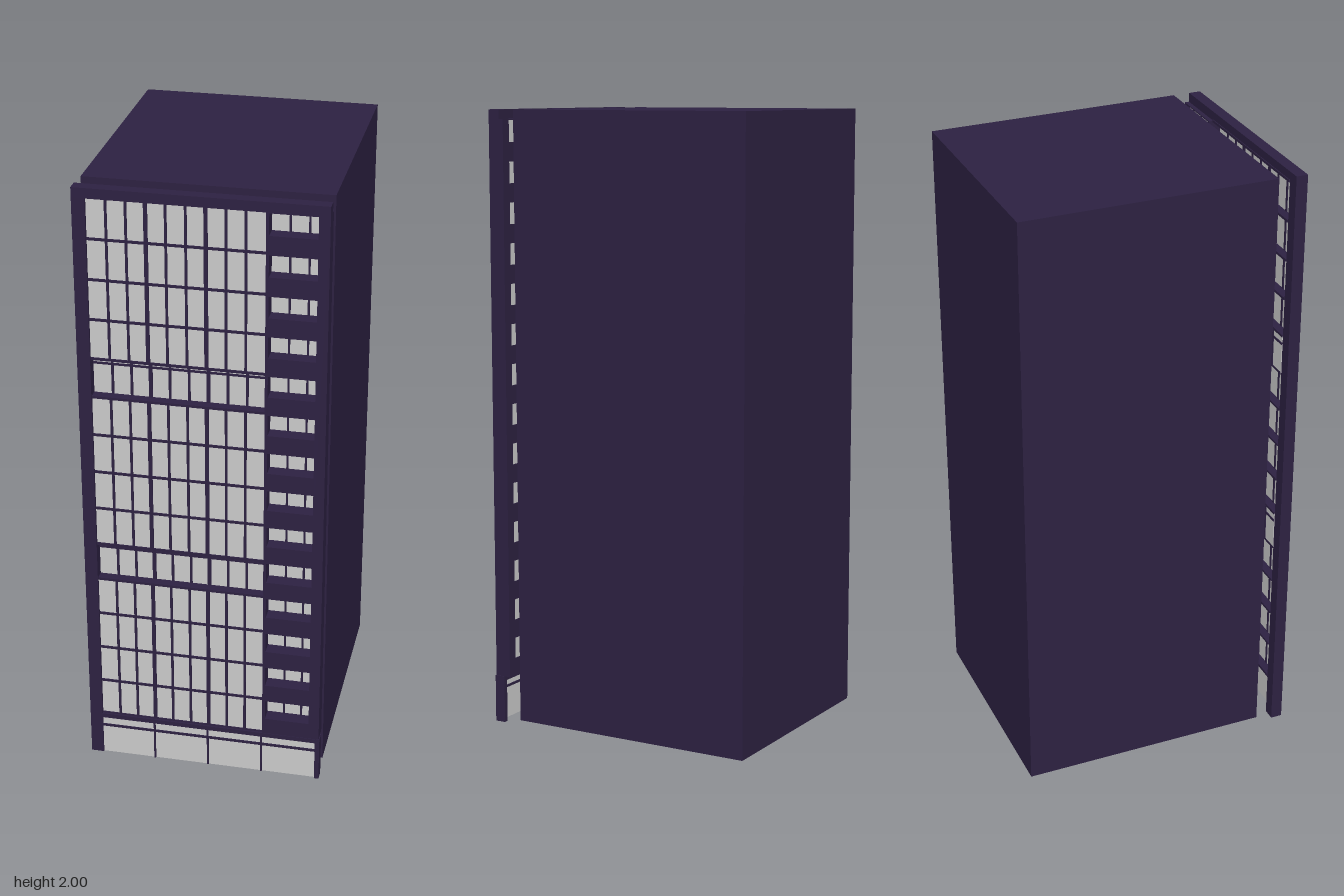
import * as THREE from 'three';

export function createModel() {
  const model = new THREE.Group();
  const dark = new THREE.MeshStandardMaterial({ color: 0x2d2142, flatShading: true });
  const glass = new THREE.MeshStandardMaterial({ color: 0xcccccc, flatShading: true });

  // Box given by its minimum and maximum along each axis
  function box(name, material, x0, x1, y0, y1, z0, z1, parent = model) {
    const mesh = new THREE.Mesh(new THREE.BoxGeometry(x1 - x0, y1 - y0, z1 - z0), material);
    mesh.position.set((x0 + x1) / 2, (y0 + y1) / 2, (z0 + z1) / 2);
    mesh.name = name;
    parent.add(mesh);
    return mesh;
  }

  const base = 0.155, top = 1.97, floors = 14;
  const pitch = (top - base) / floors;

  // Plain tower block behind the facade
  box('towerBlock', dark, -0.38, 0.38, 0.015, 2, -0.46, 0.365);

  // Facade border
  box('leftPillar', dark, -0.385, -0.344, 0, top, 0.42, 0.458);
  box('topBeam', dark, -0.385, 0.38, top, 2, 0.42, 0.458);

  // Curtain wall: three bays of three panes, two floors set back
  const curtain = new THREE.Group();
  curtain.name = 'curtainWall';
  model.add(curtain);
  const left = -0.344, right = 0.193, bayWidth = (right - left) / 3;
  for (let f = 0; f < floors; f++) {
    const recessed = f === 4 || f === 9;
    const z = recessed ? 0.42 : 0.447;
    const y0 = base + f * pitch, y1 = y0 + pitch;
    box('curtainGlass', glass, left, right, y0, y1, z - 0.002, z + 0.002, curtain);
    for (let b = 0; b < 3; b++) {
      const x = left + b * bayWidth;
      if (b > 0) box('bayPost', dark, x - 0.006, x + 0.006, y0, y1, z - 0.006, z + 0.006, curtain);
      for (let m = 1; m < 3; m++) {
        const xm = x + (m * bayWidth) / 3;
        box('mullion', dark, xm - 0.004, xm + 0.004, y0, y1, z - 0.005, z + 0.005, curtain);
      }
    }
    if (recessed) box('transom', dark, left, right, y1 - 0.029, y1 - 0.022, z - 0.005, z + 0.005, curtain);
  }
  for (let f = 0; f <= floors; f++) {
    const y = base + f * pitch;
    box('floorEdge', dark, left, right, y - 0.004, y + 0.004, 0.417, 0.453, curtain);
  }

  // Solid wall strip pierced by one window opening per floor
  const wall = new THREE.Shape();
  wall.moveTo(right, base);
  wall.lineTo(0.38, base);
  wall.lineTo(0.38, top);
  wall.lineTo(right, top);
  wall.closePath();
  const windows = new THREE.Group();
  windows.name = 'sideWindows';
  model.add(windows);
  for (let f = 0; f < floors; f++) {
    const y1 = base + (f + 1) * pitch - 0.004, y0 = y1 - 0.069;
    const hole = new THREE.Path();
    hole.moveTo(0.202, y0);
    hole.lineTo(0.202, y1);
    hole.lineTo(0.346, y1);
    hole.lineTo(0.346, y0);
    hole.closePath();
    wall.holes.push(hole);
    box('windowGlass', glass, 0.202, 0.346, y0, y1, 0.408, 0.412, windows);
    for (const x of [0.257, 0.314]) {
      box('windowBar', dark, x - 0.003, x + 0.003, y0, y1, 0.406, 0.417, windows);
    }
  }
  const wallMesh = new THREE.Mesh(
    new THREE.ExtrudeGeometry(wall, { depth: 0.053, bevelEnabled: false }), dark);
  wallMesh.position.z = 0.405;
  wallMesh.name = 'windowWall';
  model.add(wallMesh);

  // Shopfront at street level
  const shop = new THREE.Group();
  shop.name = 'shopfront';
  model.add(shop);
  box('shopGlass', glass, -0.344, 0.368, 0, 0.14, 0.449, 0.453, shop);
  box('shopHeader', dark, -0.344, 0.383, 0.14, base, 0.425, 0.46, shop);
  box('shopTransom', dark, -0.344, 0.368, 0.104, 0.112, 0.446, 0.457, shop);
  box('shopEndPost', dark, 0.368, 0.383, 0, 0.14, 0.425, 0.46, shop);
  for (const x of [-0.168, 0.011, 0.19]) {
    box('shopPost', dark, x - 0.003, x + 0.003, 0, 0.14, 0.446, 0.457, shop);
  }

  return model;
}
